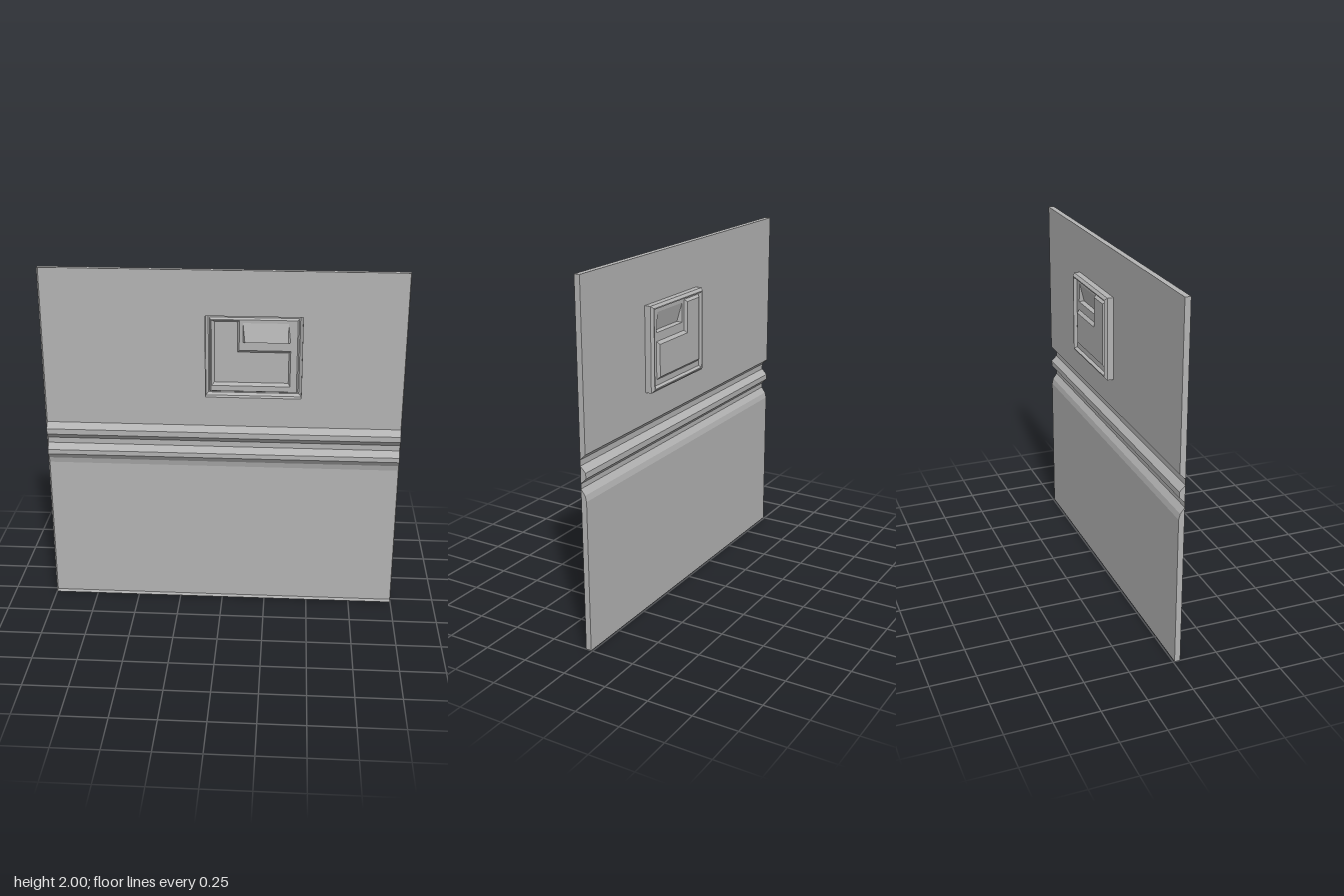
import * as THREE from 'three';

const SHEET = 0.008, LIP = 0.04, VALLEY = -0.022, CREST = -0.04;

const rect = (x0, x1, y0, y1) => [[x0, y0], [x1, y0], [x1, y1], [x0, y1]];
const toVec = (pts) => pts.map(([x, y]) => new THREE.Vector2(x, y));

// Flat plate in the xy plane at depth z, with optional holes
function plate(outline, z, holes = []) {
  const shape = new THREE.Shape(toVec(outline));
  holes.forEach((h) => shape.holes.push(new THREE.Path(toVec(h))));
  return new THREE.ShapeGeometry(shape).translate(0, 0, z);
}

// Faceted strip joining successive cross-sections of 3D points
function loft(sections, closed = true) {
  const pos = [];
  for (let s = 0; s < sections.length - 1; s++) {
    const a = sections[s], b = sections[s + 1], n = a.length;
    for (let i = 0; i < (closed ? n : n - 1); i++) {
      const j = (i + 1) % n;
      pos.push(...a[i], ...a[j], ...b[j], ...a[i], ...b[j], ...b[i]);
    }
  }
  const g = new THREE.BufferGeometry();
  g.setAttribute('position', new THREE.Float32BufferAttribute(pos, 3));
  g.computeVertexNormals();
  return g;
}
const atZ = (pts, z) => pts.map(([x, y]) => [x, y, z]);

export function createModel() {
  const group = new THREE.Group();
  const metal = new THREE.MeshStandardMaterial({ color: 0xb3b3b3, side: THREE.DoubleSide });
  metal.name = 'grey sheet metal';
  const add = (name, geometry) => {
    const mesh = new THREE.Mesh(geometry, metal);
    mesh.name = name;
    group.add(mesh);
    return mesh;
  };

  // Main sheet: upper area with an opening, lower area
  const frame = (d) => rect(-0.096 + d, 0.438 - d, 1.267 + d, 1.738 - d);
  add('upperSheet', plate(rect(-1, 1, 1.096, 2), SHEET, [frame(0)]));
  add('lowerSheet', plate(rect(-1, 1, 0, 0.845), SHEET));

  // Two pressed grooves across the sheet, as [y, z] from top to bottom
  const profile = [
    [1.096, SHEET], [1.064, LIP], [1.032, LIP], [1.0, SHEET], [0.968, SHEET],
    [0.936, LIP], [0.909, LIP], [0.877, 0.016], [0.845, SHEET],
  ];
  add('grooves', loft([-1, 1].map((x) => profile.map(([y, z]) => [x, y, z])), false));

  // Folded side flanges, interrupted by the grooves
  const flanges = [
    [[2, LIP], [2, SHEET], ...profile.slice(0, 2)],
    profile.slice(2, 6),
    [...profile.slice(6), [0, SHEET], [0, LIP]],
  ];
  for (const x of [-1, 1]) {
    flanges.forEach((pts) => {
      const g = plate(pts.map(([y, z]) => [-z, y]), 0).rotateY(Math.PI / 2).translate(x, 0, 0);
      add(x > 0 ? 'leftFlange' : 'rightFlange', g);
    });
  }

  // Folded top and bottom flanges
  for (const y of [0, 2]) {
    add(y ? 'topFlange' : 'bottomFlange',
      loft([[[-1, y, SHEET], [1, y, SHEET]], [[-1, y, LIP], [1, y, LIP]]], false));
  }

  // Raised rim of the rear pressing
  add('pressingRim', loft([
    atZ(frame(0), SHEET), atZ(frame(0), -0.027), atZ(frame(0.014), CREST),
    atZ(frame(0.02), CREST), atZ(frame(0.028), VALLEY),
  ]));

  // L-shaped plateau and the recessed face around it
  const ell = (x0, x1, y0, y1, xs, ys) => [[x0, y0], [x1, y0], [x1, ys], [xs, ys], [xs, y1], [x0, y1]];
  const ellBase = ell(-0.064, 0.374, 1.326, 1.706, 0.09, 1.535);
  const ellTop = ell(-0.048, 0.364, 1.342, 1.694, 0.08, 1.52);
  const pocket = rect(0.11, 0.372, 1.583, 1.692);
  add('pressingFace', plate(frame(0.028), VALLEY, [ellBase, pocket]));
  add('plateauWall', loft([atZ(ellBase, VALLEY), atZ(ellTop, -0.038)]));
  add('plateauFace', plate(ellTop, -0.038));

  // Sloping pull pocket, deepest at its lower edge
  const floor = rect(0.122, 0.36, 1.588, 1.692).map(([x, y], i) => [x, y, i < 2 ? 0.004 : VALLEY]);
  add('pocketWall', loft([atZ(pocket, VALLEY), floor]));
  add('pocketFloor', loft([[floor[0], floor[1]], [floor[3], floor[2]]], false));

  return group;
}
